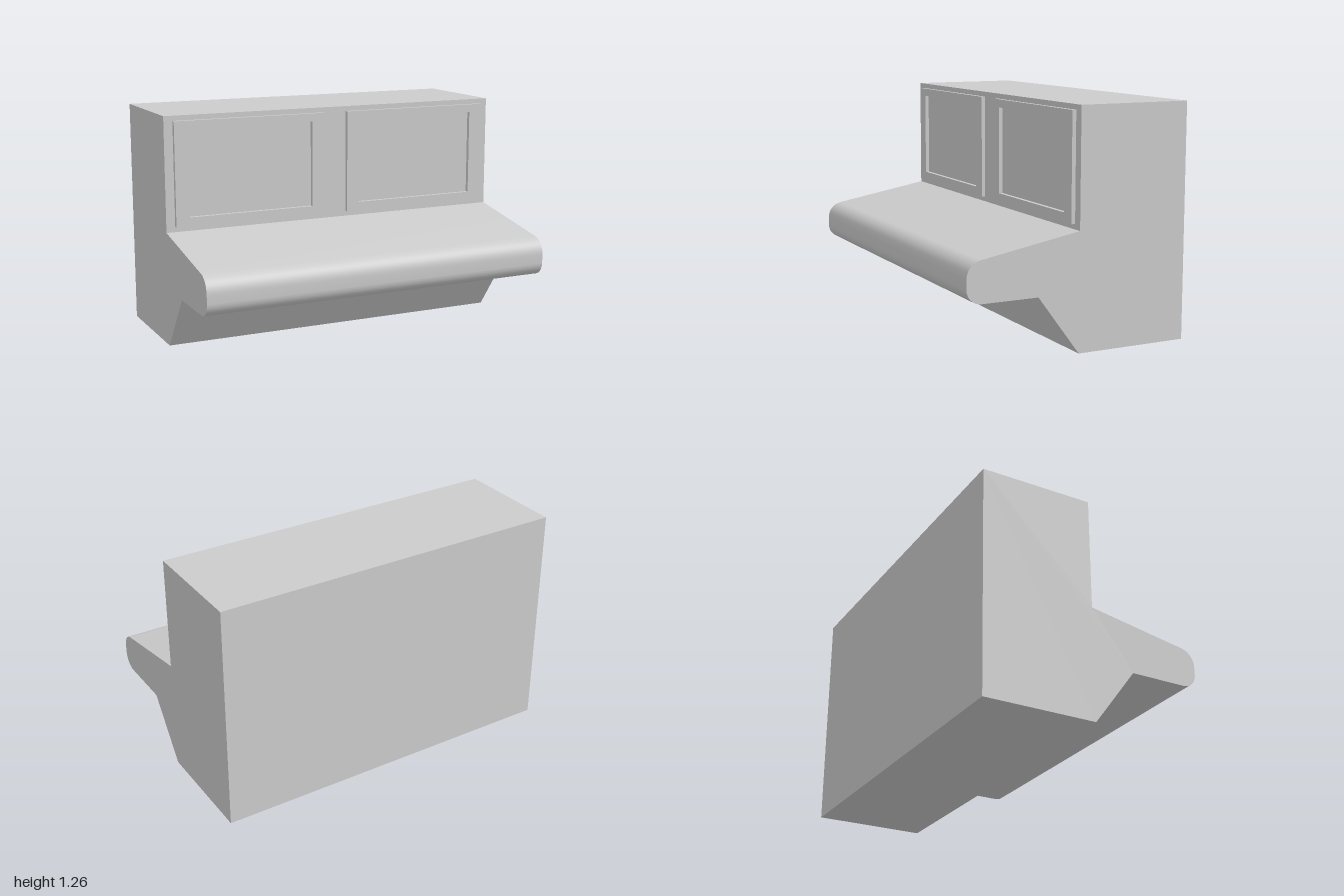
import * as THREE from 'three';
import { toCreasedNormals } from 'three/addons/utils/BufferGeometryUtils.js';

const HALF_WIDTH = 1, HALF_DEPTH = 0.63, HEIGHT = 1.263;

// Rectangle outline, usable as a shape or as a hole
function rect(Type, x0, y0, x1, y1) {
  const r = new Type();
  r.moveTo(x0, y0);
  r.lineTo(x1, y0);
  r.lineTo(x1, y1);
  r.lineTo(x0, y1);
  r.closePath();
  return r;
}

// Side profile (z, y): cabinet with sloping ledge, extruded across the width
function bodyGeometry() {
  const s = new THREE.Shape();
  s.moveTo(0, 0);
  s.lineTo(0.235, 0.317);
  s.lineTo(0.55, 0.317);
  s.absarc(0.55, 0.397, 0.08, -Math.PI / 2, 0, false);
  s.lineTo(HALF_DEPTH, 0.44);
  s.bezierCurveTo(HALF_DEPTH, 0.49, 0.597, 0.527, 0.55, 0.535);
  s.lineTo(0, 0.632);
  s.lineTo(0, HEIGHT);
  s.lineTo(-HALF_DEPTH, HEIGHT);
  s.lineTo(-HALF_DEPTH, 0);
  s.closePath();
  const g = new THREE.ExtrudeGeometry(s, { depth: 2 * HALF_WIDTH, bevelEnabled: false, curveSegments: 12 });
  g.rotateY(-Math.PI / 2);
  g.translate(HALF_WIDTH, 0, 0);
  return toCreasedNormals(g, 0.4);
}

// Raised rectangular screen surround with an open middle
function frameGeometry() {
  const s = rect(THREE.Shape, -0.44, 0.66, 0.44, 1.235);
  s.holes.push(rect(THREE.Path, -0.363, 0.71, 0.363, 1.19));
  return new THREE.ExtrudeGeometry(s, { depth: 0.022, bevelEnabled: false });
}

export function createModel() {
  const model = new THREE.Group();
  model.name = 'console';
  const material = new THREE.MeshStandardMaterial({ color: 0xcccccc });

  const body = new THREE.Mesh(bodyGeometry(), material);
  body.name = 'consoleBody';
  model.add(body);

  // One surround on each side of the upright front
  const frame = frameGeometry();
  for (const [name, side] of [['leftScreenFrame', 1], ['rightScreenFrame', -1]]) {
    const mesh = new THREE.Mesh(frame, material);
    mesh.name = name;
    mesh.position.x = side * 0.51;
    model.add(mesh);
  }
  return model;
}
